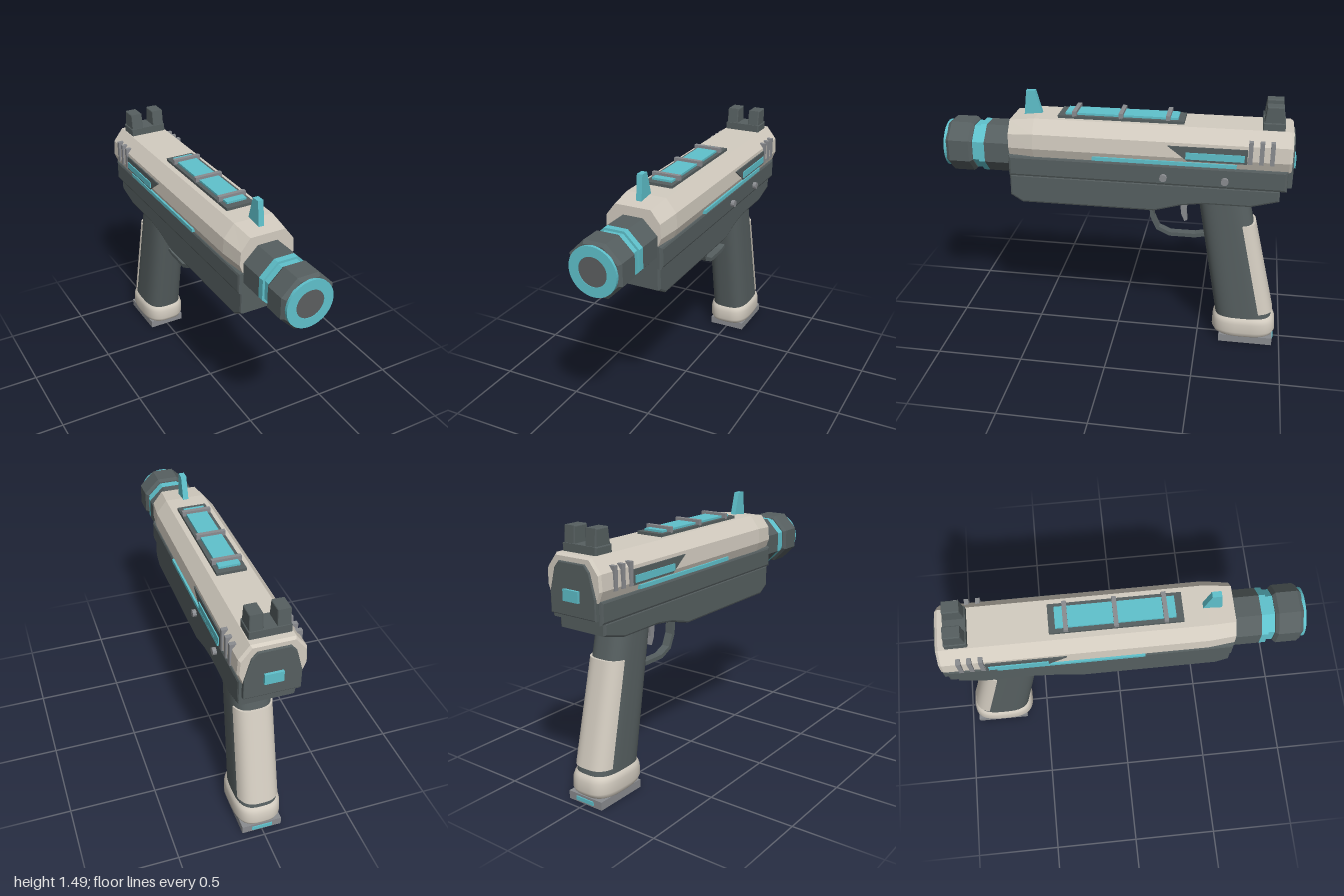
import * as THREE from 'three';

const mat = (name, color) => {
  const m = new THREE.MeshStandardMaterial({ color });
  m.name = name;
  return m;
};

export function createModel() {
  const model = new THREE.Group();
  model.name = 'pistol';
  const shell = mat('warm beige', 0xd3ccc0);
  const dark = mat('dark slate', 0x565f60);
  const cyan = mat('cyan', 0x5fc1cc);
  const grey = mat('mid grey', 0x8a8c90);
  const bore = mat('bore grey', 0x5c5e60);

  const add = (name, geometry, material) => {
    const mesh = new THREE.Mesh(geometry, material);
    mesh.name = name;
    model.add(mesh);
    return mesh;
  };

  const flat = (g) => {
    const f = g.index ? g.toNonIndexed() : g;
    f.computeVertexNormals();
    return f;
  };

  const box = (name, x0, x1, y0, y1, z0, z1, m) => {
    const g = new THREE.BoxGeometry(x1 - x0, y1 - y0, z1 - z0);
    g.translate((x0 + x1) / 2, (y0 + y1) / 2, (z0 + z1) / 2);
    return add(name, g, m);
  };

  const extrude = (pts, depth, bevel) => {
    const shape = new THREE.Shape(pts.map(([a, b]) => new THREE.Vector2(a, b)));
    const g = new THREE.ExtrudeGeometry(shape, {
      depth: depth - 2 * bevel, bevelEnabled: bevel > 0, bevelSize: bevel,
      bevelThickness: bevel, bevelOffset: -bevel, bevelSegments: 2,
    });
    return g.translate(0, 0, bevel - depth / 2);
  };

  // Side profile of [z, y] points, extruded across x0..x1
  const prism = (name, pts, x0, x1, m, bevel = 0) => {
    const g = extrude(pts, Math.abs(x1 - x0), bevel);
    g.rotateY(-Math.PI / 2).translate((x0 + x1) / 2, 0, 0);
    return add(name, g, m);
  };
  const rect = (z0, z1, y0, y1) => [[z0, y0], [z1, y0], [z1, y1], [z0, y1]];

  // Skin over rings of points, counter-clockwise seen from the last ring, with end caps
  const loft = (rings) => {
    const n = rings[0].length, pos = [], idx = [];
    rings.forEach((r) => r.forEach((p) => pos.push(...p)));
    for (let i = 0; i < rings.length - 1; i++) {
      for (let j = 0; j < n; j++) {
        const a = i * n + j, b = i * n + (j + 1) % n;
        idx.push(a, b, b + n, a, b + n, a + n);
      }
    }
    [rings[0], rings[rings.length - 1]].forEach((r, end) => {
      const base = pos.length / 3;
      r.forEach((p) => pos.push(...p));
      pos.push(...[0, 1, 2].map((k) => r.reduce((s, p) => s + p[k], 0) / n));
      for (let j = 0; j < n; j++) {
        const a = base + j, b = base + (j + 1) % n;
        idx.push(...(end ? [a, b, base + n] : [b, a, base + n]));
      }
    });
    const g = new THREE.BufferGeometry();
    g.setAttribute('position', new THREE.Float32BufferAttribute(pos, 3));
    g.setIndex(idx);
    g.computeVertexNormals();
    return g;
  };

  // Slide: faceted cross-section, tapering at the nose and chamfered at the tail
  const slideHalf = [[0.155, 1.14], [0.179, 1.2], [0.174, 1.285], [0.115, 1.36]];
  const slideRing = (z, sx, sy) => {
    const right = slideHalf.map(([x, y]) => [x * sx, 1.14 + (y - 1.14) * sy, z]);
    return [...right, ...right.map(([x, y, w]) => [-x, y, w]).reverse()];
  };
  add('slide', flat(loft([
    slideRing(-0.975, 0.95, 0.95), slideRing(-0.96, 1, 1),
    slideRing(0.46, 1, 1), slideRing(0.605, 0.9, 0.92),
  ])), shell);

  // Frame and lower body
  prism('frame', rect(-0.96, 0.61, 1.025, 1.15), -0.167, 0.167, dark, 0.015);
  prism('lowerBody', [[0.61, 1.03], [0.61, 0.9], [0.54, 0.857], [-0.23, 0.857], [-0.38, 0.9],
    [-0.5, 0.918], [-0.77, 0.918], [-0.925, 0.96], [-0.925, 1.03]].reverse(), -0.152, 0.152, dark, 0.012);

  // Rear plate with its light
  const plate = extrude([[-0.15, 1.05], [0.15, 1.05], [0.15, 1.16], [0.115, 1.29], [0.085, 1.325],
    [-0.085, 1.325], [-0.115, 1.29], [-0.15, 1.16]], 0.04, 0.006);
  add('rearPlate', plate.translate(0, 0, -0.965), dark);
  box('rearLight', -0.05, 0.05, 1.13, 1.19, -1, -0.98, cyan);

  // Octagonal barrel sections along z: apothem at back and front
  const axisY = 1.15;
  const octagon = (name, z0, z1, a0, a1, m) => {
    const k = 1 / Math.cos(Math.PI / 8);
    const g = new THREE.CylinderGeometry(a1 * k, a0 * k, z1 - z0, 8, 1, false, Math.PI / 8);
    add(name, flat(g.rotateX(Math.PI / 2).translate(0, axisY, (z0 + z1) / 2)), m);
  };
  octagon('barrel', 0.58, 0.755, 0.14, 0.14, dark);
  octagon('barrelBand', 0.755, 0.79, 0.14, 0.14, cyan);
  octagon('barrelCore', 0.79, 0.84, 0.127, 0.127, cyan);
  octagon('muzzleBack', 0.83, 0.848, 0.133, 0.147, dark);
  octagon('muzzle', 0.848, 0.965, 0.147, 0.147, dark);
  octagon('muzzleFront', 0.965, 0.985, 0.147, 0.133, dark);

  const ring = new THREE.Shape().absarc(0, 0, 0.135, 0, Math.PI * 2);
  ring.holes.push(new THREE.Path().absarc(0, 0, 0.08, 0, Math.PI * 2, true));
  const ringGeo = new THREE.ExtrudeGeometry(ring, { depth: 0.03, bevelEnabled: false, curveSegments: 24 });
  add('muzzleRing', ringGeo.translate(0, axisY, 0.97), cyan);
  const disc = new THREE.CylinderGeometry(0.081, 0.081, 0.03, 40);
  add('bore', disc.rotateX(Math.PI / 2).translate(0, axisY, 0.982), bore);

  // Sights
  prism('frontSight', [[0.435, 1.35], [0.54, 1.35], [0.525, 1.49], [0.475, 1.49]], -0.016, 0.016, cyan);
  prism('rearSightBase', rect(-0.925, -0.805, 1.35, 1.402), -0.11, 0.11, dark, 0.006);
  for (const s of [-1, 1]) {
    prism('rearSightPost', [[-0.92, 1.38], [-0.808, 1.38], [-0.822, 1.49], [-0.912, 1.49]],
      s * 0.035, s * 0.105, dark, 0.006);
  }

  // Top panel with cross bars
  box('topPanel', -0.083, 0.083, 1.35, 1.376, -0.38, 0.33, dark);
  box('topLight', -0.06, 0.06, 1.37, 1.388, -0.345, 0.29, cyan);
  for (const z of [-0.29, -0.027, 0.235]) {
    box('topBar', -0.083, 0.083, 1.37, 1.403, z - 0.012, z + 0.012, grey);
  }

  // Side details on both flanks
  for (const s of [-1, 1]) {
    prism('sidePanel', [[-0.735, 1.185], [-0.41, 1.185], [-0.3, 1.267], [-0.735, 1.267]],
      s * 0.165, s * 0.183, dark);
    prism('sideLight', [[-0.72, 1.198], [-0.4, 1.198], [-0.4, 1.236], [-0.72, 1.236]],
      s * 0.175, s * 0.189, cyan);
    prism('sideStripe', rect(-0.68, 0.12, 1.155, 1.176), s * 0.15, s * 0.181, cyan);
    for (const z of [-0.75, -0.81, -0.867]) {
      prism('slideRib', rect(z - 0.012, z + 0.012, 1.187, 1.313), s * 0.14, s * 0.186, grey);
    }
  }

  // Screws on the left flank only
  for (const z of [-0.28, -0.62]) {
    const g = new THREE.CylinderGeometry(0.021, 0.021, 0.04, 10);
    add('screw', flat(g.rotateZ(-Math.PI / 2).translate(0.168, 1.075, z)), grey);
  }

  // Raked grip: rounded cross-section at height y
  const oval = (w, d, t) => {
    const p = (v) => Math.sign(v) * Math.abs(v) ** 0.667;
    return [w * p(Math.sin(t)), d * p(Math.cos(t))];
  };
  const fullRing = (y, zBack, zFront, w) => Array.from({ length: 48 }, (_, i) => {
    const [x, z] = oval(w, (zFront - zBack) / 2, (i / 48) * Math.PI * 2);
    return [x, y, (zBack + zFront) / 2 + z];
  });
  const gripAt = (y) => {
    const k = (0.92 - y) / 0.75;
    return [-0.76 - 0.18 * k, -0.47 - 0.135 * k, 0.11 + 0.01 * k];
  };
  add('grip', loft([0.15, 0.55, 0.94].map((y) => fullRing(y, ...gripAt(y)))), dark);

  // Back strap wrapped round the rear of the grip
  const strapRing = (y) => {
    const [zb, zf, w] = gripAt(y);
    const arc = Array.from({ length: 25 }, (_, i) => {
      const [x, z] = oval(w + 0.006, (zf - zb) / 2 + 0.014, Math.PI * (1 + 0.37 * (i / 12 - 1)));
      return [x, y, (zb + zf) / 2 + z];
    });
    return [...arc, arc[24], arc[0]];
  };
  add('backStrap', loft([0.205, 0.5, 0.775].map(strapRing)), shell);

  // Grip cap and base plate
  add('gripCap', loft([
    [0.045, -0.945, -0.615, 0.118], [0.056, -0.958, -0.6, 0.128], [0.08, -0.969, -0.588, 0.136],
    [0.135, -0.963, -0.59, 0.136], [0.16, -0.952, -0.598, 0.13], [0.175, -0.935, -0.612, 0.117],
  ].map((r) => fullRing(...r))), shell);
  box('basePlate', -0.115, 0.115, 0, 0.047, -0.955, -0.635, grey);
  box('baseLight', -0.06, 0.06, 0.012, 0.034, -0.961, -0.95, cyan);

  // Trigger and its guard
  prism('trigger', [[-0.375, 0.92], [-0.37, 0.84], [-0.375, 0.79], [-0.395, 0.745], [-0.412, 0.752],
    [-0.405, 0.8], [-0.408, 0.85], [-0.42, 0.92]].reverse(), -0.018, 0.018, grey);
  prism('triggerGuard', [[-0.183, 0.88], [-0.195, 0.76], [-0.232, 0.682], [-0.31, 0.645], [-0.46, 0.645],
    [-0.54, 0.662], [-0.54, 0.685], [-0.46, 0.668], [-0.315, 0.668], [-0.248, 0.698], [-0.217, 0.765],
    [-0.206, 0.88]].reverse(), -0.025, 0.025, dark);

  return model;
}
